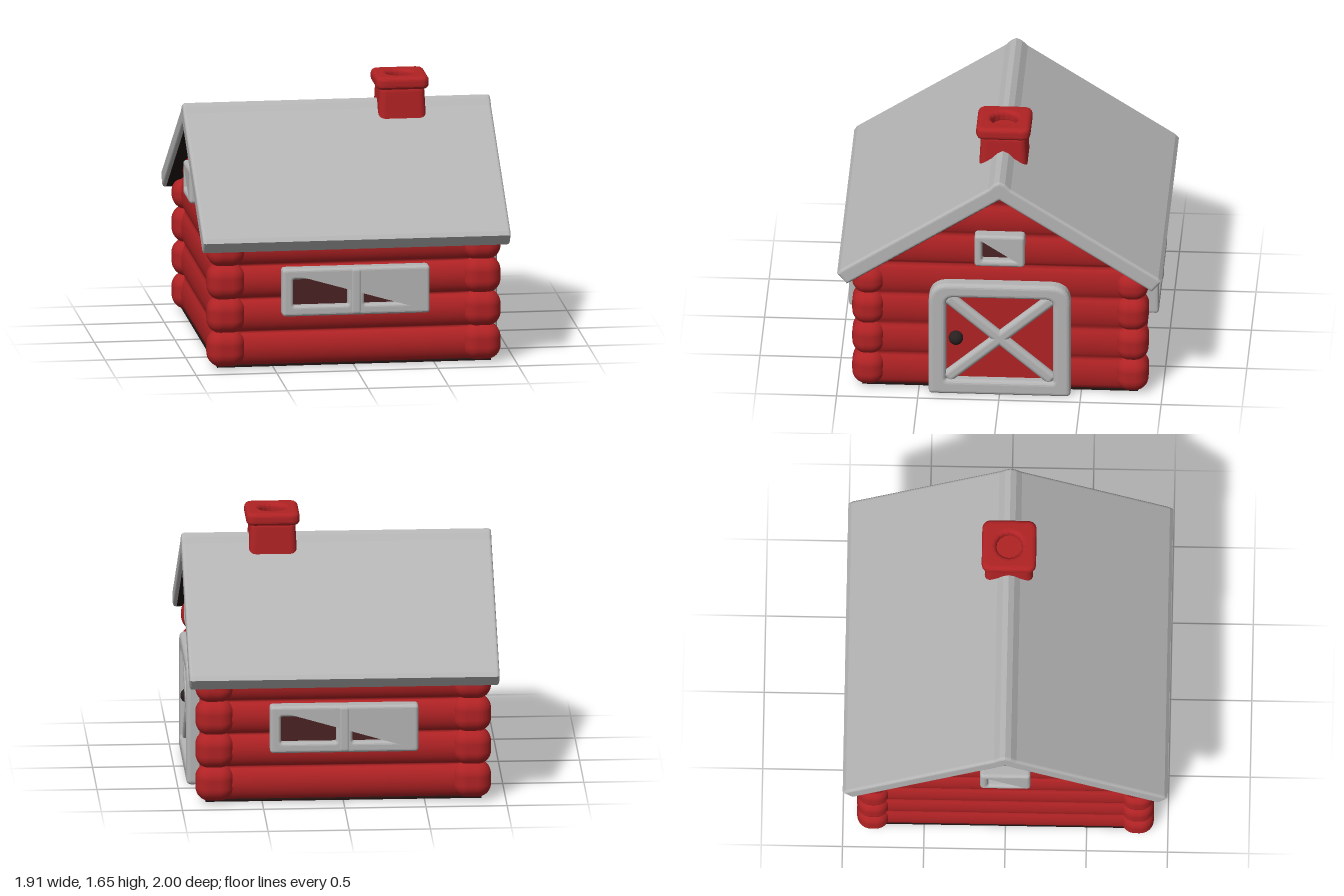
import * as THREE from 'three';
import { RoundedBoxGeometry } from 'three/addons/geometries/RoundedBoxGeometry.js';

const mat = (name, color, side = THREE.FrontSide) => {
  const m = new THREE.MeshStandardMaterial({ color, side });
  m.name = name;
  return m;
};

export function createModel() {
  const red = mat('barn red', 0xb02224, THREE.DoubleSide);
  const grey = mat('light grey', 0xb4b4b4);
  const glass = mat('dark window', 0x4a2222);
  const black = mat('knob black', 0x2a2020);
  const shade = mat('underside brown', 0x1f1110, THREE.DoubleSide);

  const model = new THREE.Group();
  model.name = 'logCabin';

  const add = (parent, name, geo, material, x = 0, y = 0, z = 0) => {
    const mesh = new THREE.Mesh(geo, material);
    mesh.name = name;
    mesh.position.set(x, y, z);
    parent.add(mesh);
    return mesh;
  };

  // One group per wall, facing +z before it is turned
  const side = (name, angle) => {
    const g = new THREE.Group();
    g.name = name;
    g.rotation.y = angle;
    model.add(g);
    return g;
  };

  // Rounded rectangle centred on (cx, cy), with separate bottom and top radii
  const roundRect = (path, cx, cy, w, h, rb, rt = rb) => {
    const l = cx - w / 2, r = cx + w / 2, b = cy - h / 2, t = cy + h / 2;
    path.moveTo(l + rb, b);
    path.lineTo(r - rb, b);
    path.quadraticCurveTo(r, b, r, b + rb);
    path.lineTo(r, t - rt);
    path.quadraticCurveTo(r, t, r - rt, t);
    path.lineTo(l + rt, t);
    path.quadraticCurveTo(l, t, l, t - rt);
    path.lineTo(l, b + rb);
    path.quadraticCurveTo(l, b, l + rb, b);
    return path;
  };

  // Extrusion with softened edges that keeps the outline size
  const softExtrude = (shape, depth, bevel) => {
    const geo = new THREE.ExtrudeGeometry(shape, {
      depth: depth - 2 * bevel, bevelSize: bevel, bevelThickness: bevel,
      bevelOffset: -bevel, bevelSegments: 4, curveSegments: 8,
    });
    return geo.translate(0, 0, bevel);
  };

  // Wall surface of stacked logs, narrowed to halfWidth(y)
  const PITCH = 0.21, FLOOR = 0.015;
  const logWall = (top, halfWidth, depth, bulge) => {
    const geo = new THREE.PlaneGeometry(2, 1, 8, 90);
    const p = geo.attributes.position;
    for (let i = 0; i < p.count; i++) {
      const y = FLOOR + (p.getY(i) + 0.5) * (top - FLOOR);
      const swell = Math.sqrt(Math.abs(Math.sin(Math.PI * (y - FLOOR) / PITCH)));
      p.setXYZ(i, p.getX(i) * halfWidth(y), y, depth + bulge * swell);
    }
    geo.computeVertexNormals();
    return geo;
  };

  // Window frame with dark panes; each pane is [cx, cy, w, h]
  const addWindow = (parent, cy, w, h, z, panes) => {
    const shape = roundRect(new THREE.Shape(), 0, cy, w, h, 0.025);
    for (const [px, py, pw, ph] of panes) {
      shape.holes.push(roundRect(new THREE.Path(), px, py, pw, ph, 0.012));
      add(parent, 'windowPane', new THREE.BoxGeometry(pw + 0.03, ph + 0.03, 0.008), glass, px, py, z + 0.025);
    }
    add(parent, 'windowFrame', softExtrude(shape, 0.1, 0.02), grey, 0, 0, z - 0.02);
  };

  // Long walls with double windows
  for (const [name, angle] of [['frontWall', 0], ['backWall', Math.PI]]) {
    const g = side(name, angle);
    add(g, 'logs', logWall(0.84, () => 0.84, 0.81, 0.06), red);
    addWindow(g, 0.49, 0.915, 0.3, 0.875, [[-0.22, 0.49, 0.34, 0.165], [0.22, 0.49, 0.34, 0.165]]);
    add(g, 'windowPost', new RoundedBoxGeometry(0.075, 0.3, 0.06, 3, 0.025), grey, 0, 0.49, 0.93);
  }

  // Gable walls with a small loft window
  const gableWidth = (y) => Math.max(0.01, Math.min(0.84, (1.4 - y) / 0.645));
  const gables = [['rightGable', Math.PI / 2], ['leftGable', -Math.PI / 2]].map(([name, angle]) => {
    const g = side(name, angle);
    add(g, 'logs', logWall(1.39, gableWidth, 0.83, 0.035), red);
    addWindow(g, 0.995, 0.31, 0.215, 0.85, [[0, 0.995, 0.215, 0.125]]);
    return g;
  });

  // Door with cross braces and a knob
  const door = new THREE.Group();
  door.name = 'door';
  gables[0].add(door);
  const doorShape = roundRect(new THREE.Shape(), 0, 0.3825, 0.875, 0.765, 0.03, 0.13);
  doorShape.holes.push(roundRect(new THREE.Path(), 0, 0.385, 0.66, 0.57, 0.01, 0.05));
  add(door, 'doorFrame', softExtrude(doorShape, 0.11, 0.028), grey, 0, 0, 0.835);
  add(door, 'doorPanel', new THREE.BoxGeometry(0.74, 0.64, 0.03), red, 0, 0.385, 0.87);
  for (const s of [-1, 1]) {
    const brace = add(door, 'doorBrace', new RoundedBoxGeometry(0.87, 0.078, 0.06, 4, 0.028), grey, 0, 0.385, 0.9);
    brace.rotation.z = s * Math.atan2(0.57, 0.66);
  }
  add(door, 'doorKnob', new THREE.SphereGeometry(0.045, 20, 14), black, -0.27, 0.375, 0.9);

  // Rounded log ends at the four corners
  for (const sx of [-1, 1]) for (const sz of [-1, 1]) for (let i = 0; i < 4; i++) {
    const h = i < 3 ? 0.226 : 0.19;
    add(model, 'cornerLog', new RoundedBoxGeometry(0.235, h, 0.2, 5, 0.085), red,
      sx * 0.793, FLOOR + h / 2 + i * PITCH, sz * 0.813);
  }

  // Floor underside
  add(model, 'floor', new THREE.BoxGeometry(1.7, 0.008, 1.7), shade, 0, 0.014, 0);

  // Roof slab with a raised ridge
  const half = [[0.94, 0.755], [1.0, 0.825], [0.98, 0.85], [0.07, 1.44], [0.035, 1.475], [0, 1.492]];
  const outline = [[0, 1.365], ...half, ...half.slice(0, -1).reverse().map(([z, y]) => [-z, y])];
  const roofShape = new THREE.Shape(outline.map(([z, y]) => new THREE.Vector2(z, y)));
  const roof = add(model, 'roof', softExtrude(roofShape, 1.91, 0.018), grey, -0.955, 0, 0);
  roof.rotation.y = Math.PI / 2;

  // Dark lining under each roof slope
  const slope = Math.atan2(0.61, 0.94);
  for (const s of [-1, 1]) {
    const lining = add(model, 'roofLining', new THREE.BoxGeometry(1.86, 0.006, 1.08), shade, 0, 1.06, s * 0.465);
    lining.rotation.x = s * slope;
  }

  // Chimney: flared body and a rim with a round flue
  const body = new RoundedBoxGeometry(0.28, 0.38, 0.28, 4, 0.04);
  const bp = body.attributes.position;
  for (let i = 0; i < bp.count; i++) {
    const k = 1 + 0.09 * Math.max(0, 0.1 - bp.getY(i)) / 0.2;
    bp.setX(i, bp.getX(i) * k);
    bp.setZ(i, bp.getZ(i) * k);
  }
  body.computeVertexNormals();
  add(model, 'chimney', body, red, 0.395, 1.4, 0);
  const rimShape = roundRect(new THREE.Shape(), 0, 0, 0.33, 0.335, 0.06);
  rimShape.holes.push(new THREE.Path().absarc(0, 0, 0.08, 0, Math.PI * 2, true));
  const rim = add(model, 'chimneyRim', softExtrude(rimShape, 0.08, 0.028), red, 0.395, 1.57, 0);
  rim.rotation.x = -Math.PI / 2;

  return model;
}
